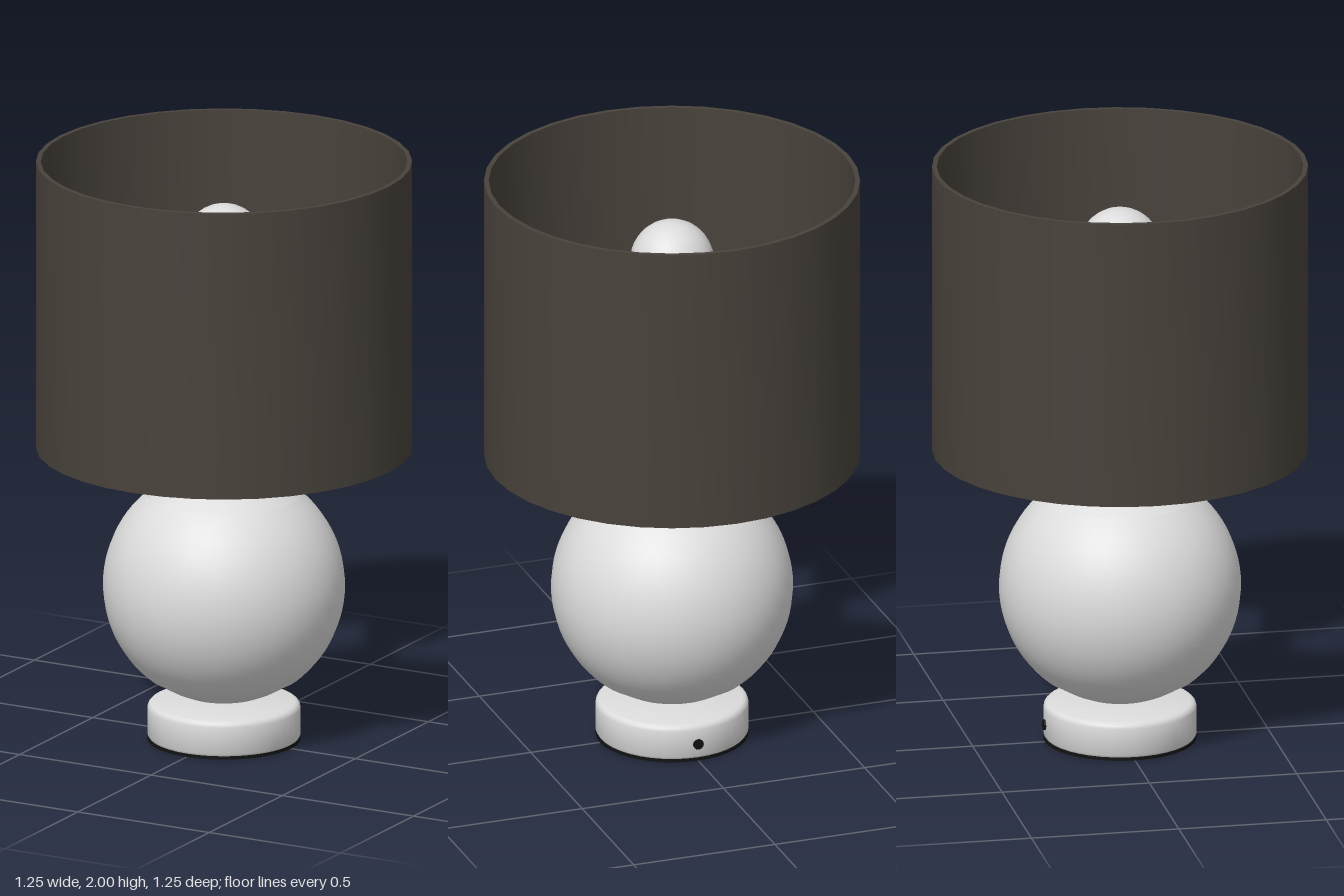
import * as THREE from 'three';
import { toCreasedNormals } from 'three/addons/utils/BufferGeometryUtils.js';

const mat = (name, color) => {
  const m = new THREE.MeshStandardMaterial({ color });
  m.name = name;
  return m;
};

export function createModel() {
  const group = new THREE.Group();
  group.name = 'tableLamp';
  const white = mat('white', 0xdcdcdc);
  const fabric = mat('darkFabric', 0x48423b);
  const black = mat('black', 0x121212);

  const add = (name, geometry, material, parent = group) => {
    const mesh = new THREE.Mesh(geometry, material);
    mesh.name = name;
    parent.add(mesh);
    return mesh;
  };
  // Revolved profile, listed bottom to top; sharp corners stay sharp
  const lathe = (name, points, material, sides = 40, crease = 0.6) => {
    const g = new THREE.LatheGeometry(points.map(([r, y]) => new THREE.Vector2(r, y)), sides);
    return add(name, toCreasedNormals(g, crease), material);
  };
  // Points on a circle between two angles measured from straight down
  const arc = (radius, cy, from, to, steps) => Array.from({ length: steps + 1 }, (_, i) => {
    const a = from + (to - from) * i / steps;
    return [Math.max(0, Math.sin(a) * radius), cy - Math.cos(a) * radius];
  });

  // Foot: black pad, rounded drum and cord outlet at the back
  lathe('footPad', [[0, 0], [0.255, 0], [0.255, 0.01], [0, 0.01]], black);
  lathe('foot', [[0.25, 0.01], [0.255, 0.018], [0.255, 0.11], [0.252, 0.12],
    [0.245, 0.127], [0.235, 0.13], [0, 0.13]], white);
  const outlet = add('cordOutlet', new THREE.CylinderGeometry(0.018, 0.018, 0.012, 12), black);
  outlet.rotation.x = Math.PI / 2;
  outlet.position.set(0, 0.06, -0.255);

  // Globe body with slightly inset caps at both ends
  const R = 0.403, cy = 0.534, cut = 0.68;
  lathe('bodyGlobe', arc(R, cy, cut, Math.PI - cut, 26), white);
  lathe('bottomCap', [...arc(R - 0.005, cy, 0, cut, 6), [R * Math.sin(cut), cy - R * Math.cos(cut)]], white);
  lathe('topCap', [[R * Math.sin(cut), cy + R * Math.cos(cut)],
    ...arc(R - 0.005, cy, Math.PI - cut, Math.PI, 6)], white);

  // Stem, socket and bulb
  lathe('stem', [[0.029, 0.9], [0.029, 1.12]], white, 16);
  lathe('socket', [[0, 1.1], [0.066, 1.1], [0.075, 1.11], [0.075, 1.27],
    [0.066, 1.29], [0.066, 1.36], [0, 1.36]], white, 24);
  lathe('bulb', [[0.05, 1.34], [0.055, 1.45], [0.075, 1.54],
    ...arc(0.14, 1.71, 0.85, Math.PI, 12)], white, 24);

  // Shade carrier: ring and three sloping spokes
  const carrier = new THREE.Group();
  carrier.name = 'shadeCarrier';
  group.add(carrier);
  const ring = add('carrierRing', new THREE.TorusGeometry(0.093, 0.016, 8, 24), white, carrier);
  ring.rotation.x = Math.PI / 2;
  ring.position.y = 1.31;
  for (let i = 0; i < 3; i++) {
    const a = i * Math.PI * 2 / 3;
    const at = (r, y) => new THREE.Vector3(Math.sin(a) * r, y, Math.cos(a) * r);
    const path = new THREE.LineCurve3(at(0.1, 1.31), at(0.612, 1.06));
    add('carrierSpoke', new THREE.TubeGeometry(path, 1, 0.004, 6), white, carrier);
  }

  // Open drum shade with a thin wall
  lathe('shade', [[0.61, 1.01], [0.626, 1.01], [0.626, 2], [0.61, 2], [0.61, 1.01]], fabric, 36);

  return group;
}
